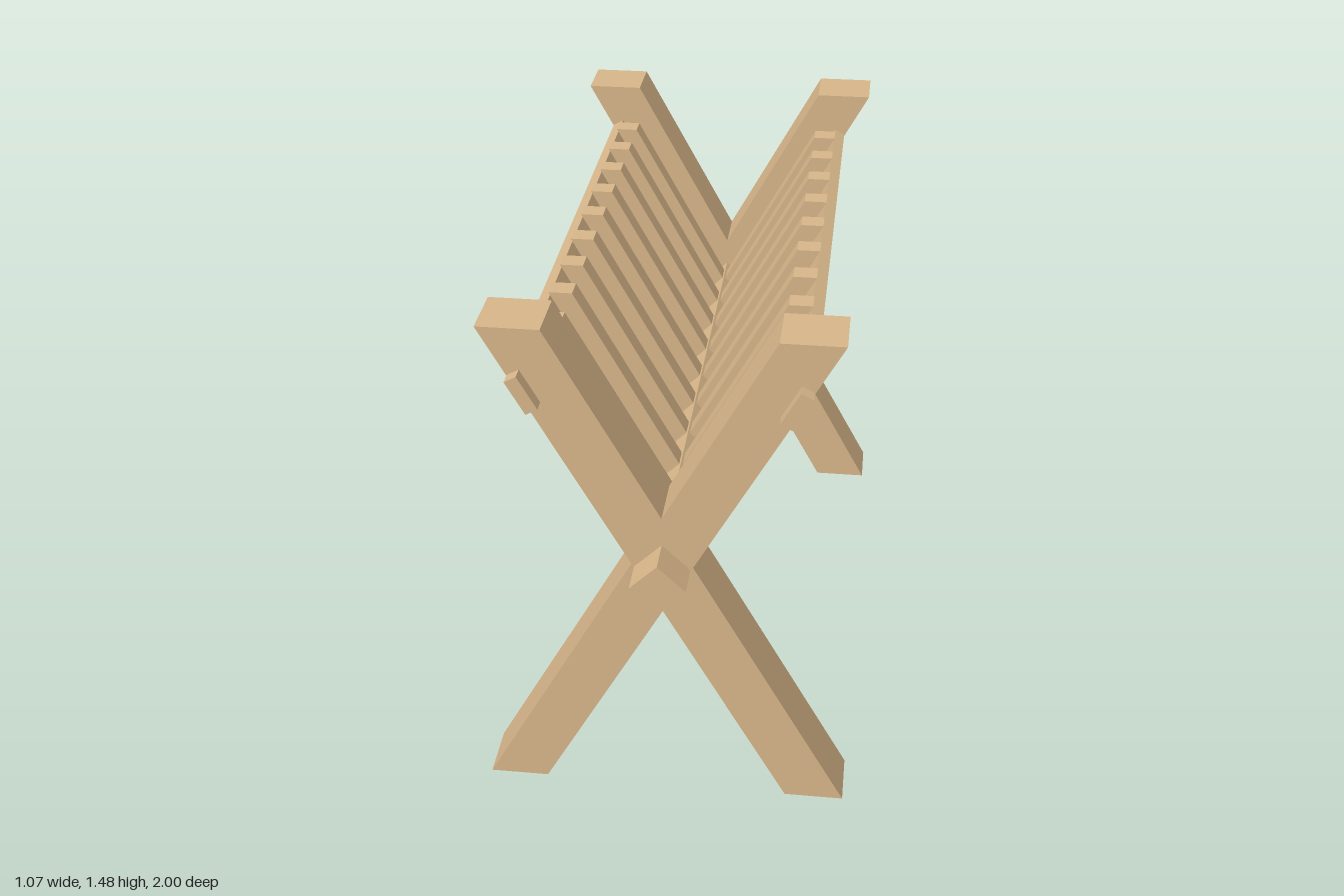
import * as THREE from 'three';

const material = new THREE.MeshStandardMaterial({ color: 0xd8b78a, flatShading: true });

const HEIGHT = 1.475;
const CROSS_Y = 0.783;              // height where the legs cross
const SLOPE = 0.5458;               // sideways run of a leg per unit of height
const LEAN = Math.atan(SLOPE);
const HALF = 0.0825;                // half the horizontal width of a leg

// Extrudes an outline along z, between two depths
function prism(name, points, zBack, zFront) {
  const shape = new THREE.Shape(points.map(([x, y]) => new THREE.Vector2(x, y)));
  const geometry = new THREE.ExtrudeGeometry(shape, { depth: zFront - zBack, bevelEnabled: false });
  geometry.translate(0, 0, zBack);
  const mesh = new THREE.Mesh(geometry, material);
  mesh.name = name;
  return mesh;
}

// Crossed pair of legs with level-cut ends
function crossedLegs(name, zBack, zFront) {
  const foot = CROSS_Y * SLOPE;
  const top = (HEIGHT - CROSS_Y) * SLOPE;
  const notch = HALF / SLOPE;
  return prism(name, [
    [-foot - HALF, 0], [-foot + HALF, 0], [0, CROSS_Y - notch], [foot - HALF, 0], [foot + HALF, 0],
    [HALF, CROSS_Y],
    [top + HALF, HEIGHT], [top - HALF, HEIGHT], [0, CROSS_Y + notch], [-top + HALF, HEIGHT], [-top - HALF, HEIGHT],
    [-HALF, CROSS_Y],
  ], zBack, zFront);
}

// Leaning slat with level-cut ends, on the side given by +1 or -1
function slat(side, z) {
  const y0 = 0.785, y1 = 1.37, half = 0.0325;
  const centre = y => (y - CROSS_Y) * SLOPE + 0.004;
  const points = [
    [centre(y0) - half, y0], [centre(y0) + half, y0],
    [centre(y1) + half, y1], [centre(y1) - half, y1],
  ].map(([x, y]) => [x * side, y]);
  return prism('slat', points, z - 0.03, z + 0.03);
}

export function createModel() {
  const rack = new THREE.Group();
  rack.name = 'rack';

  // Leg frames
  rack.add(crossedLegs('frontLegs', 0.745, 0.903));
  rack.add(crossedLegs('backLegs', -0.935, -0.777));

  // Square beam set on its corner through both crossings
  const d = 0.075, by = 0.775;
  rack.add(prism('centreBeam', [[0, by - d], [d, by], [0, by + d], [-d, by]], -1, 1));

  for (const side of [1, -1]) {
    // Upper rail, flush with the outer faces of the legs
    const rail = new THREE.Mesh(new THREE.BoxGeometry(0.036, 0.104, 1.91), material);
    rail.name = side > 0 ? 'leftRail' : 'rightRail';
    rail.position.set(side * 0.3445, 1.305, -0.015);
    rail.rotation.z = -side * LEAN;
    rack.add(rail);

    // Row of slats from the beam up to the rail
    const slats = new THREE.Group();
    slats.name = side > 0 ? 'leftSlats' : 'rightSlats';
    for (let i = 0; i < 9; i++) slats.add(slat(side, -0.7 + i * 0.1675));
    rack.add(slats);
  }

  // The whole rack stands turned very slightly
  rack.rotation.y = 0.028;
  const model = new THREE.Group();
  model.add(rack);
  return model;
}
